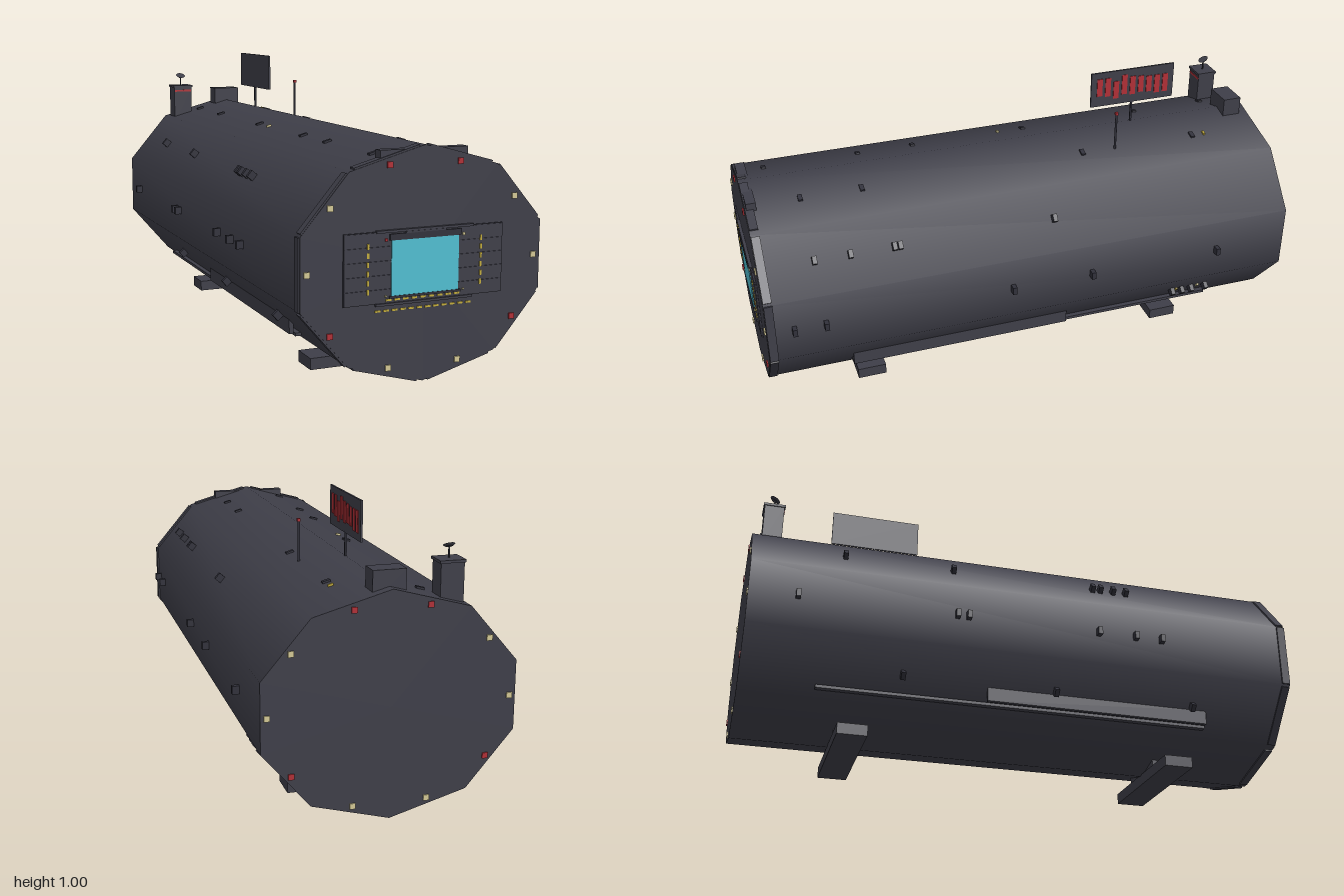
import * as THREE from 'three';

const mat = (name, color) => {
  const m = new THREE.MeshStandardMaterial({ color });
  m.name = name;
  return m;
};

export function createModel() {
  const model = new THREE.Group();
  const hull = mat('hull grey', 0x3e3e48);
  const dark = mat('dark trim', 0x30303a);
  const red = mat('signal red', 0xb02f36);
  const cream = mat('cream light', 0xd2c794);
  const yellow = mat('hazard yellow', 0xc2ab3c);
  const cyan = mat('window cyan', 0x50bdd0);

  const add = (name, geo, material, x = 0, y = 0, z = 0, parent = model) => {
    const mesh = new THREE.Mesh(geo, material);
    mesh.name = name;
    mesh.position.set(x, y, z);
    parent.add(mesh);
    return mesh;
  };
  const box = (name, material, x, y, z, w, h, d, parent) =>
    add(name, new THREE.BoxGeometry(w, h, d), material, x, y, z, parent);

  const CY = 0.411, RX = 0.44, RY = 0.376, FRONT = 0.986, BACK = -0.996;
  const rad = THREE.MathUtils.degToRad;
  // Centre of a hull facet at an angle, with its outward tilt
  const facet = (deg, k = 0.951) => {
    const c = Math.cos(rad(deg)), s = Math.sin(rad(deg));
    return { x: RX * k * c, y: CY + RY * k * s, tilt: Math.atan2(s / RY, c / RX) };
  };

  // Ten-sided hull, smooth along its sides
  const hullGeo = new THREE.CylinderGeometry(1, 1, FRONT - BACK, 10);
  hullGeo.rotateX(Math.PI / 2);
  hullGeo.scale(RX, RY, 1);
  add('hull', hullGeo, hull, 0, CY, (FRONT + BACK) / 2);

  // Thin collar plates on the facets at the front
  for (let i = 0; i < 10; i++) {
    const f = facet(i * 36);
    const plate = box('collarPlate', hull, f.x, f.y, FRONT - 0.017, 0.012, 0.23, 0.03);
    plate.rotation.z = f.tilt;
  }
  box('topCollar', hull, 0, 0.755, 0.962, 0.305, 0.04, 0.035);

  // Marker lights around both ends
  const lightColours = [cream, cream, red, red, cream, cream, red, cream, cream, red];
  const lightAngles = [0, 36, 72, 108, 144, 180, 216, 252, 288, 324];
  lightAngles.forEach((deg, i) => {
    const c = 0.398 * Math.cos(rad(deg)), s = 0.336 * Math.sin(rad(deg));
    for (const z of [FRONT + 0.002, BACK - 0.001])
      box('markerLight', lightColours[i], c, CY + s, z, 0.019, 0.019, 0.006);
  });

  // Front door: slatted panel, window and frame
  const door = new THREE.Group();
  door.name = 'frontDoor';
  model.add(door);
  for (let i = 0; i < 5; i++)
    box('slat', hull, 0, 0.3235 + i * 0.0447, FRONT + 0.003, 0.555, 0.0435, 0.008, door);
  box('slatBacking', dark, 0, 0.413, FRONT, 0.557, 0.226, 0.008, door);
  box('window', cyan, 0, 0.41, FRONT + 0.007, 0.236, 0.176, 0.006, door);
  box('windowHood', dark, 0, 0.508, FRONT + 0.007, 0.25, 0.02, 0.012, door);
  box('windowSill', dark, 0, 0.319, FRONT + 0.006, 0.25, 0.008, 0.012, door);
  box('topLedge', hull, 0, 0.526, FRONT + 0.004, 0.34, 0.008, 0.014, door);
  box('topStep', hull, 0, 0.52, FRONT + 0.005, 0.14, 0.006, 0.016, door);
  box('bottomLedge', hull, 0, 0.297, FRONT + 0.004, 0.34, 0.008, 0.012, door);
  for (const s of [-1, 1]) {
    for (let i = 0; i < 6; i++)
      box('sideDash', yellow, s * 0.198, 0.341 + i * 0.0285, FRONT + 0.008, 0.007, 0.017, 0.004, door);
    box('lowerLamp', cream, s * 0.136, 0.323, FRONT + 0.008, 0.006, 0.006, 0.006, door);
    box('upperLamp', s < 0 ? red : cream, s * 0.136, 0.5, FRONT + 0.008, 0.009, 0.009, 0.006, door);
  }
  for (let i = 0; i < 9; i++)
    box('sillDash', yellow, -0.127 + i * 0.03, 0.311, FRONT + 0.008, 0.019, 0.006, 0.004, door);
  for (let i = 0; i < 12; i++)
    box('stepDash', yellow, -0.16 + i * 0.029, 0.276, FRONT + 0.001, 0.019, 0.006, 0.004, door);

  // Two cross skids with saddles
  for (const z of [0.6, -0.598]) {
    box('skid', hull, 0, 0.02, z, 0.485, 0.04, 0.106);
    box('saddle', hull, 0, 0.06, z, 0.22, 0.05, 0.095);
  }

  // Side skirts and the pipes under them
  for (const s of [-1, 1]) {
    box('sideSkirt', hull, s * 0.322, 0.167, 0.267, 0.015, 0.052, 0.825);
    box('sidePipe', hull, s * 0.297, 0.137, -0.03, 0.022, 0.011, 1.42);
  }

  // Small fittings scattered along the facets: angle, then z positions
  const fittings = [
    [0, 0.89, 0.78, 0.1, -0.205, -0.71],
    [36, 0.79, 0.665, 0.51, 0.49, -0.08],
    [72, 0.79, 0.57, -0.27, -0.72],
    [108, 0.88, 0.53, 0.32, -0.12, -0.59, -0.88],
    [144, 0.38, 0.33, 0.28, 0.25, -0.28, -0.67],
    [180, 0.48, 0.38, 0.24, -0.24, -0.28, -0.83],
    [216, 0.62, 0.1, -0.45],
    [324, -0.58, -0.62, -0.66, -0.72],
  ];
  for (const [deg, ...zs] of fittings) {
    const f = facet(deg);
    const out = deg === 72 || deg === 108 ? 0.014 : 0.05;
    for (const z of zs)
      box('fitting', dark, f.x, f.y, z, out, 0.028, 0.016).rotation.z = f.tilt;
  }
  const lamps = [[108, -0.02, cream], [72, -0.77, yellow], [324, -0.6, yellow], [324, -0.69, cream]];
  for (const [deg, z, m] of lamps) {
    const f = facet(deg);
    box('hullLamp', m, f.x, f.y, z, 0.014, 0.018, 0.008).rotation.z = f.tilt;
  }

  // Roof sign with red bars on its left face
  const sign = new THREE.Group();
  sign.name = 'roofSign';
  model.add(sign);
  box('signBoard', hull, 0, 0.936, -0.518, 0.007, 0.138, 0.338, sign);
  box('signPost', dark, 0, 0.82, -0.518, 0.007, 0.11, 0.007, sign);
  const bars = [[0.91, 0.98], [0.905, 0.98], [0.892, 0.963], [0.905, 0.985], [0.9, 0.975],
    [0.905, 0.972], [0.902, 0.967], [0.893, 0.967], [0.893, 0.967]];
  bars.forEach(([lo, hi], i) =>
    box('signBar', red, 0.004, (lo + hi) / 2, -0.383 - i * 0.0337, 0.004, hi - lo, 0.022, sign));

  // Thin antenna with red tip
  add('antenna', new THREE.CylinderGeometry(0.0045, 0.0045, 0.16, 8), dark, 0.132, 0.81, -0.4);
  box('antennaTip', red, 0.132, 0.895, -0.4, 0.011, 0.01, 0.011);

  // Rear chimney with red band and tilted dish
  const tower = new THREE.Group();
  tower.name = 'rearTower';
  tower.position.set(-0.206, 0, -0.926);
  model.add(tower);
  box('towerBody', hull, 0, 0.77, 0, 0.078, 0.16, 0.07, tower);
  box('towerCap', hull, 0, 0.852, 0, 0.086, 0.009, 0.078, tower);
  box('towerBand', red, 0, 0.833, 0.035, 0.074, 0.008, 0.004, tower);
  add('dishPost', new THREE.CylinderGeometry(0.003, 0.003, 0.04, 8), dark, 0, 0.875, 0, tower);
  const dish = add('dish', new THREE.CylinderGeometry(0.02, 0.012, 0.006, 16), hull, 0, 0.896, 0, tower);
  dish.rotation.x = 0.5;

  // Rear roof unit
  box('roofUnit', hull, 0, 0.79, -0.926, 0.11, 0.1, 0.07);

  return model;
}
